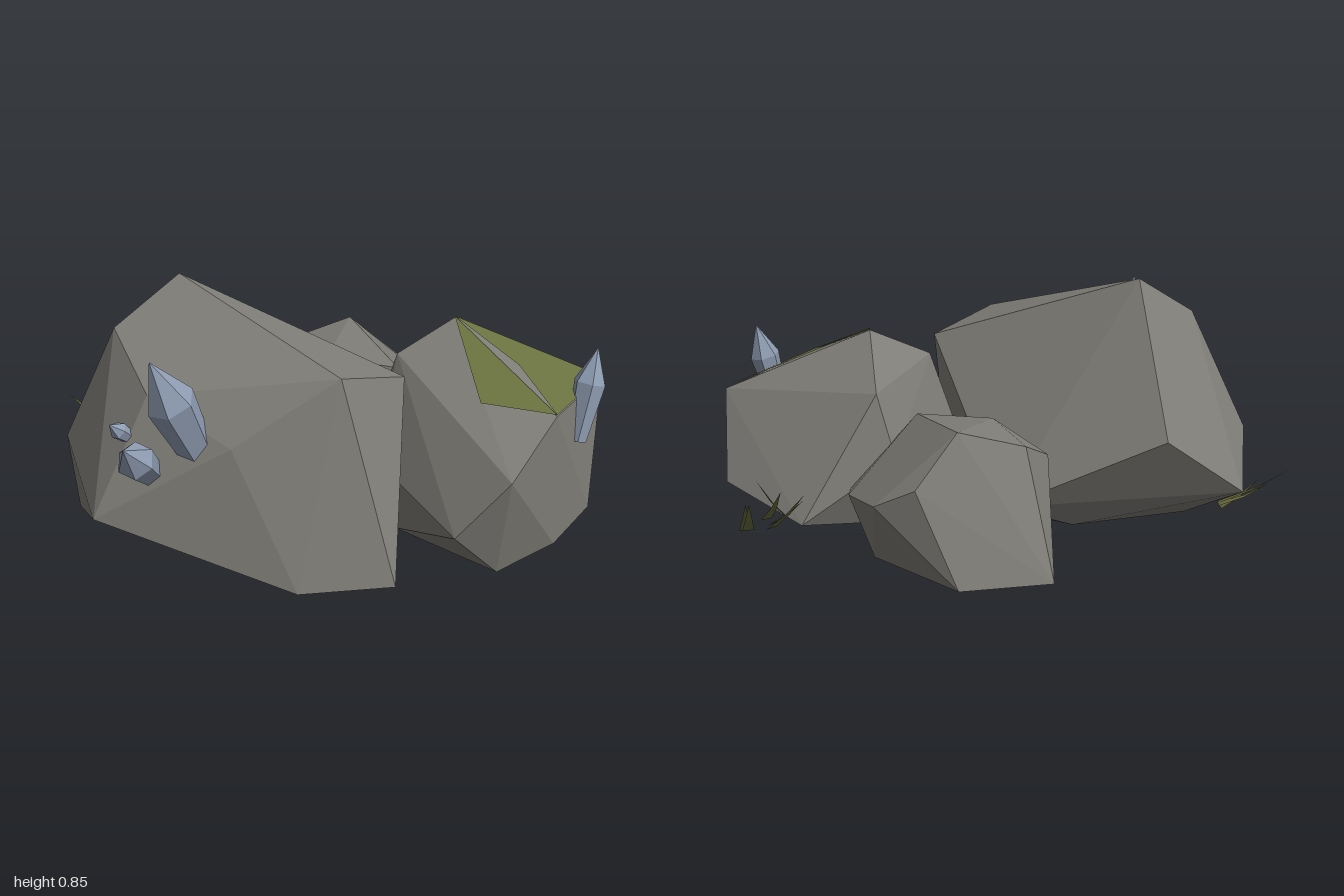
import * as THREE from 'three';
import { ConvexGeometry } from 'three/addons/geometries/ConvexGeometry.js';

const V = (p) => new THREE.Vector3(...p);
const mat = (color) => new THREE.MeshStandardMaterial({ color, flatShading: true, side: THREE.DoubleSide });

// Faceted boulder: hull of its corners, left open where it rests on the ground
function boulder(name, corners, material) {
  const src = new ConvexGeometry(corners.map(V)).getAttribute('position');
  const out = [];
  for (let i = 0; i < src.count; i += 3) {
    const grounded = [0, 1, 2].every((k) => src.getY(i + k) < 0.001);
    if (!grounded) for (let k = 0; k < 3; k++) out.push(src.getX(i + k), src.getY(i + k), src.getZ(i + k));
  }
  return triangles(name, out, material);
}

function triangles(name, numbers, material) {
  const geo = new THREE.BufferGeometry();
  geo.setAttribute('position', new THREE.Float32BufferAttribute(numbers, 3));
  geo.computeVertexNormals();
  const mesh = new THREE.Mesh(geo, material);
  mesh.name = name;
  return mesh;
}

// Six-sided crystal from base to tip, widest below the point
function crystal(base, tip, radius, material) {
  const axis = V(tip).sub(V(base));
  const h = axis.length();
  const profile = [[0.65, 0], [1, 0.62], [0, 1]].map(([r, y]) => new THREE.Vector2(r * radius, y * h));
  const mesh = new THREE.Mesh(new THREE.LatheGeometry(profile, 6), material);
  mesh.position.copy(V(base));
  mesh.quaternion.setFromUnitVectors(new THREE.Vector3(0, 1, 0), axis.normalize());
  mesh.name = 'crystal';
  return mesh;
}

// Bent, pointed blade of grass
function blade(base, tip, width, material) {
  const a = V(base), c = V(tip);
  const b = a.clone().lerp(c, 0.5).add(new THREE.Vector3(0, -0.01, 0));
  const side = c.clone().sub(a).cross(new THREE.Vector3(0, 1, 0)).normalize().multiplyScalar(width / 2);
  const a0 = a.clone().sub(side), a1 = a.clone().add(side);
  side.multiplyScalar(0.6);
  const b0 = b.clone().sub(side), b1 = b.clone().add(side);
  const pts = [a0, a1, b1, a0, b1, b0, b0, b1, c];
  return triangles('grassBlade', pts.flatMap((p) => p.toArray()), material);
}

export function createModel() {
  const group = new THREE.Group();
  const stone = mat(0x7f7d77), moss = mat(0x6b7340), gem = mat(0x8f9db3), grass = mat(0x6e7040);

  // Boulders
  group.add(boulder('largeBoulder', [
    [-0.48, 0.85, 0.08], [-0.68, 0.71, 0.25], [0.09, 0.67, 0.58], [0.29, 0.59, 0.35], [-0.53, 0.58, 0.52],
    [-0.25, 0.46, 0.66], [-0.88, 0.29, 0.2], [-0.85, 0.14, -0.14], [-0.58, 0.35, -0.285], [-0.02, 0.09, -0.23],
    [-0.7, 0.2, 0.65], [-0.84, 0.04, 0.25], [-0.66, 0, 0.05], [-0.67, 0, 0.32], [-0.04, 0, 0.75],
    [0.27, 0, 0.69], [0.2, 0, 0.13], [-0.26, 0, -0.13],
  ], stone));
  group.add(boulder('mossyBoulder', [
    [0.47, 0.67, -0.02], [0.78, 0.5, 0.45], [1, 0.45, -0.03], [0.41, 0.49, -0.25], [0.34, 0.27, -0.29],
    [0.27, 0.57, 0.08], [0.62, 0.38, 0.7], [0.45, 0.19, 0.71], [0.2, 0.25, 0.27], [0.18, 0.3, 0.1],
    [0.96, 0.15, -0.2], [0.65, 0.06, -0.39], [0.96, 0.02, 0.14], [0.86, 0, 0.2], [0.81, 0, 0.38],
    [0.6, 0, 0.58], [0.27, 0, 0.29], [0.31, 0, -0.13], [0.75, 0, 0],
  ], stone));
  group.add(boulder('smallBoulder', [
    [0.09, 0.46, -0.62], [0.28, 0.41, -0.19], [0.01, 0.42, -0.27], [-0.12, 0.4, -0.55], [-0.18, 0.31, -0.32],
    [0.21, 0.3, -0.73], [0.47, 0.2, -0.47], [0.49, 0.18, -0.34], [0.35, 0.23, -0.68], [0.28, 0.2, -0.12],
    [-0.22, 0, -0.7], [0.07, 0, -0.79], [0.38, 0, -0.51], [0.36, 0, -0.3], [0.22, 0, -0.2], [-0.12, 0, -0.35],
  ], stone));

  // Moss patches lying just above the facets, with a bare sliver between them
  const top = [0.47, 0.676, -0.02], front = [0.78, 0.506, 0.45], outer = [1, 0.456, -0.03];
  const inner = [0.681, 0.571, 0.178], left = [0.54, 0.513, 0.38];
  group.add(triangles('moss', [top, left, front, top, inner, outer, inner, front, outer].flat(), moss));

  // Crystals rooted inside the stone: base, tip, radius
  const crystals = new THREE.Group();
  crystals.name = 'crystals';
  [
    [[-0.35, 0.37, 0.57], [-0.48, 0.77, 0.72], 0.08],
    [[-0.51, 0.32, 0.57], [-0.56, 0.51, 0.79], 0.062],
    [[-0.58, 0.43, 0.53], [-0.64, 0.51, 0.6], 0.03],
    [[0.88, 0.33, 0.25], [0.94, 0.645, 0.19], 0.055],
    [[0.87, 0.36, 0.2], [0.93, 0.43, 0.18], 0.025],
  ].forEach(([base, tip, r]) => crystals.add(crystal(base, tip, r, gem)));
  group.add(crystals);

  // Grass tufts: base, tip
  const tufts = new THREE.Group();
  tufts.name = 'grass';
  [
    [[0.81, 0.07, -0.48], [0.76, 0.21, -0.63]], [[0.82, 0.07, -0.48], [0.78, 0.2, -0.6]],
    [[0.74, 0.07, -0.45], [0.6, 0.22, -0.55]], [[0.75, 0.07, -0.41], [0.62, 0.18, -0.48]],
    [[0.78, 0.07, -0.36], [0.7, 0.2, -0.46]], [[0.72, 0.07, -0.33], [0.8, 0.22, -0.4]],
    [[-0.76, 0.12, -0.2], [-0.99, 0.26, -0.26]], [[-0.76, 0.12, -0.22], [-0.93, 0.2, -0.22]],
    [[-0.77, 0.1, -0.19], [-0.9, 0.2, -0.17]],
    [[0.18, 0.05, -0.02], [0.18, 0.18, -0.15]], [[0.05, 0.06, -0.09], [0.1, 0.17, -0.02]],
    [[0.18, 0.05, 0.05], [0.17, 0.16, 0.1]], [[0.2, 0.05, -0.05], [0.24, 0.17, -0.13]],
  ].forEach(([base, tip]) => tufts.add(blade(base, tip, 0.04, grass)));
  group.add(tufts);

  return group;
}
